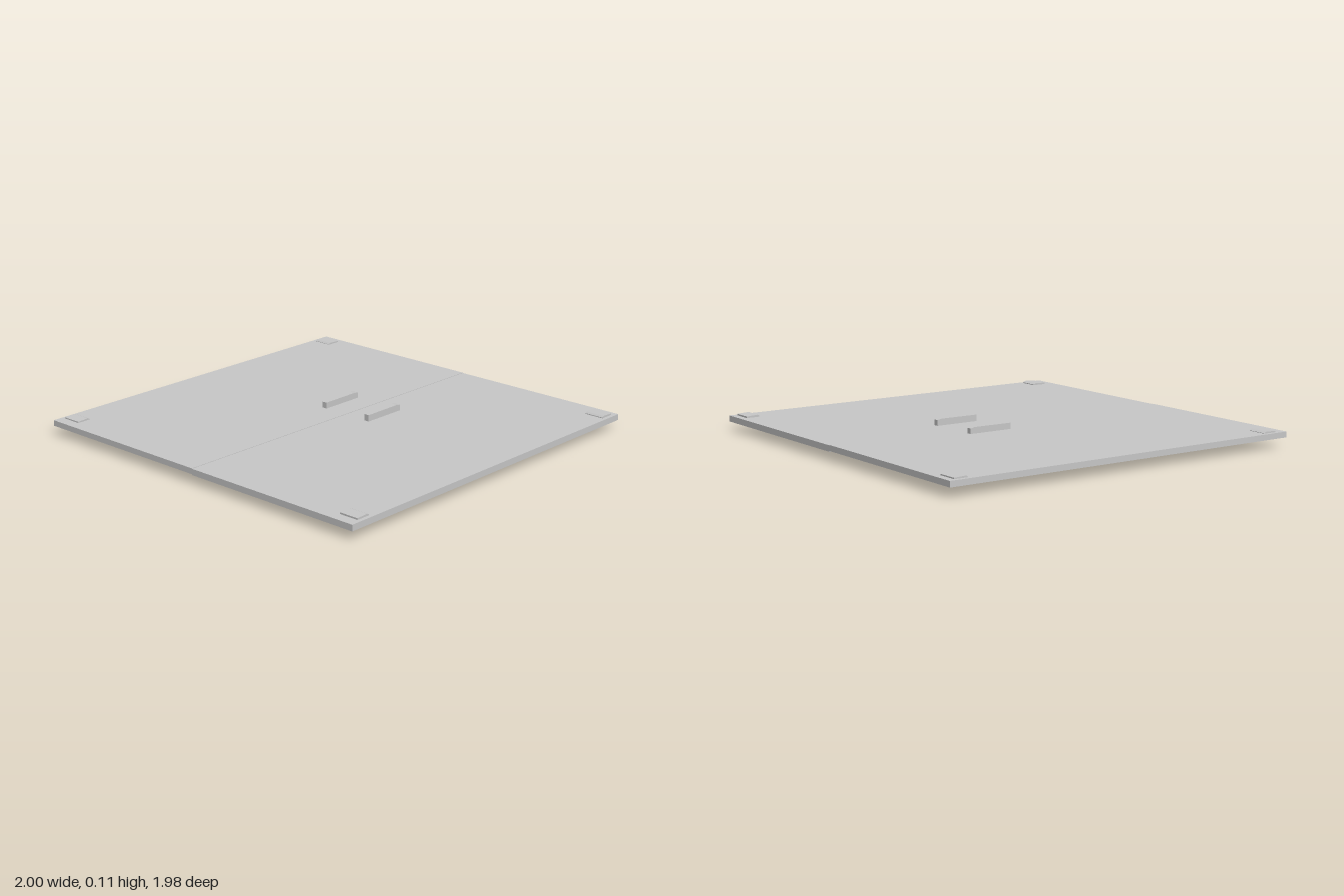
import * as THREE from 'three';

export function createModel() {
  const model = new THREE.Group();
  const paint = new THREE.MeshStandardMaterial({ color: 0xc8c8c8 });
  paint.name = 'lightGrey';
  const liner = new THREE.MeshStandardMaterial({ color: 0x666666 });
  liner.name = 'darkGrey';

  const add = (name, geometry, material = paint) => {
    const mesh = new THREE.Mesh(geometry, material);
    mesh.name = name;
    model.add(mesh);
    return mesh;
  };
  // Box given by its lower and upper limits
  const box = (name, x0, x1, y0, y1, z0, z1) =>
    add(name, new THREE.BoxGeometry(x1 - x0, y1 - y0, z1 - z0))
      .position.set((x0 + x1) / 2, (y0 + y1) / 2, (z0 + z1) / 2);
  // Side profile in (z, y) extruded across x
  const bar = (name, x, width, points) => {
    const shape = new THREE.Shape(points.map(([z, y]) => new THREE.Vector2(-z, y)));
    const g = new THREE.ExtrudeGeometry(shape, { depth: width, bevelEnabled: false });
    g.translate(0, 0, -width / 2).rotateY(Math.PI / 2);
    add(name, g).position.x = x;
  };
  // Rounded window outline
  const roundedWindow = (x0, x1, z0, z1, r) => {
    const p = new THREE.Path();
    p.absarc(x0 + r, z0 + r, r, Math.PI, Math.PI * 1.5);
    p.absarc(x1 - r, z0 + r, r, Math.PI * 1.5, Math.PI * 2);
    p.absarc(x1 - r, z1 - r, r, 0, Math.PI / 2);
    p.absarc(x0 + r, z1 - r, r, Math.PI / 2, Math.PI);
    p.closePath();
    return p;
  };

  for (const s of [-1, 1]) {
    const side = s > 0 ? 'left' : 'right';
    const bottom = s > 0 ? 0.045 : 0.049;
    const top = s > 0 ? 0.076 : 0.078;

    // Door leaf; one sits a hair higher, leaving the centre seam
    box(side + 'DoorLeaf', Math.min(0, s), Math.max(0, s), bottom, top, -0.99, 0.99);

    // Inner lining with a window opening
    const outline = s > 0
      ? [[0, -0.975], [0.98, -0.975], [0.98, 0.975], [0, 0.975]]
      : [[0, -0.975], [-0.48, -0.975], [-0.93, -0.67], [-0.98, -0.67], [-0.98, 0.975], [0, 0.975]];
    const lining = new THREE.Shape(outline.map(([x, z]) => new THREE.Vector2(x, z)));
    lining.holes.push(s > 0
      ? roundedWindow(0.15, 0.815, 0.485, 0.845, 0.03)
      : roundedWindow(-0.815, -0.15, 0.485, 0.845, 0.03));
    const sheet = new THREE.ShapeGeometry(lining, 6).rotateX(Math.PI / 2);
    add(side + 'InnerLining', sheet, liner).position.y = bottom - 0.0015;

    // Outer pull handle with a slightly chamfered back end
    bar(side + 'OuterHandle', s * 0.143, 0.028,
      [[-0.058, 0.074], [-0.058, 0.109], [-0.27, 0.11], [-0.295, 0.105], [-0.295, 0.074]]);

    // Inner pull handle
    box(side + 'InnerHandle', s * 0.467 - 0.013, s * 0.467 + 0.013, 0, bottom, -0.245, 0);

    // Corner hinge plates, each with a thin sloped inner lip
    for (const [end, inner, step, outer] of
      [['Back', -0.882, -0.89, -0.955], ['Front', 0.86, 0.875, 0.935]]) {
      bar(side + end + 'HingePlate', s * 0.929, 0.102,
        [[inner, 0.074], [inner, 0.08], [step, 0.087], [outer, 0.084], [outer, 0.074]]);
    }
  }
  return model;
}
